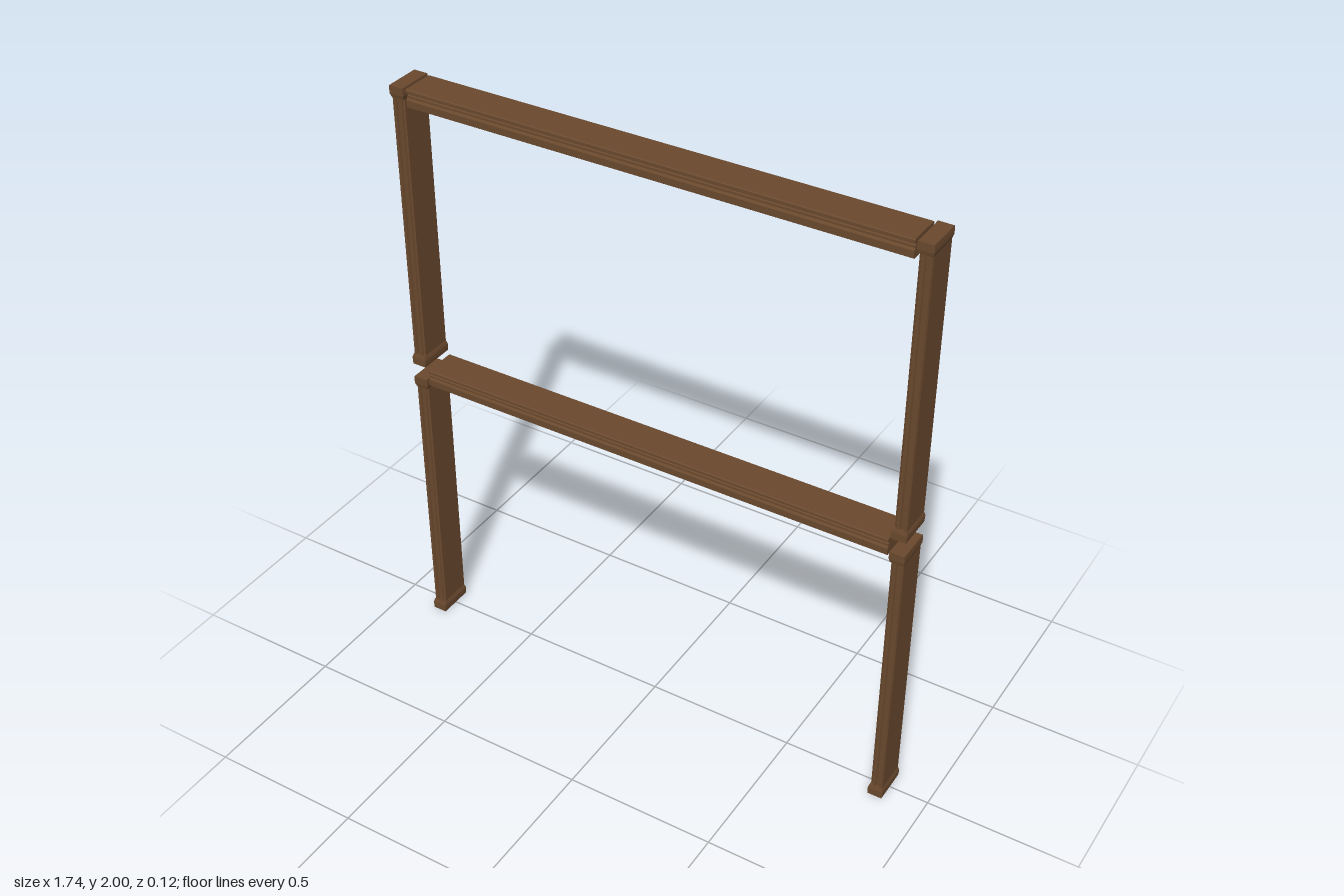
import * as THREE from 'three';

const wood = new THREE.MeshStandardMaterial({ color: 0x6a492e });
wood.name = 'brown wood';

// Flat-sided prism, centred along its length
function prism(points, length) {
  const shape = new THREE.Shape(points.map(([a, b]) => new THREE.Vector2(a, b)));
  const geo = new THREE.ExtrudeGeometry(shape, { depth: length, bevelEnabled: false });
  return geo.translate(0, 0, -length / 2);
}

function add(parent, name, geo, x = 0, y = 0, z = 0) {
  const mesh = new THREE.Mesh(geo, wood);
  mesh.name = name;
  mesh.position.set(x, y, z);
  parent.add(mesh);
  return mesh;
}

// Post end block: full width at the outer end, narrowing toward the shaft
function endBlock(up) {
  const geo = new THREE.BoxGeometry(0.05, 0.038, 0.12, 1, 3, 1);
  const p = geo.attributes.position;
  for (let i = 0; i < p.count; i++) {
    const t = p.getY(i) * up / 0.038 + 0.5; // 0 at the shaft, 1 at the tip
    const s = t < 0.1 ? 0.84 : t > 0.9 ? 0.94 : 1;
    p.setX(i, p.getX(i) * s);
    p.setZ(i, p.getZ(i) * (t < 0.1 ? 0.95 : 1));
  }
  const flat = geo.toNonIndexed();
  flat.computeVertexNormals();
  return flat;
}

// Post section (x outward, z): flat back, stepped moulding on the front
const postProfile = [
  [-0.02, -0.058], [0.021, -0.058], [0.021, 0.05], [0.018, 0.056],
  [0.009, 0.056], [0.006, 0.049], [0.001, 0.049], [-0.002, 0.056],
  [-0.012, 0.056], [-0.015, 0.05], [-0.02, 0.048],
];

// Beam section (z, y): flat back, grooved front edge
const beamProfile = [
  [-0.058, -0.03], [0.05, -0.03], [0.056, -0.026], [0.056, -0.004],
  [0.051, 0.002], [0.051, 0.009], [0.047, 0.011], [0.047, 0.016],
  [0.056, 0.019], [0.056, 0.027], [0.053, 0.03], [-0.055, 0.03], [-0.058, 0.027],
];

function makePost(side, bottom, top) {
  const post = new THREE.Group();
  post.name = side > 0 ? 'leftPost' : 'rightPost';
  const profile = postProfile.map(([x, z]) => [x * side, z]);
  const shaft = prism(profile, top - bottom - 0.04).rotateX(Math.PI / 2);
  add(post, 'shaft', shaft, side * 0.845, (top + bottom) / 2);
  add(post, 'topBlock', endBlock(1), side * 0.845, top - 0.019);
  add(post, 'bottomBlock', endBlock(-1), side * 0.845, bottom + 0.019);
  return post;
}

function makeBeam(y) {
  const beam = new THREE.Group();
  beam.name = 'crossBeam';
  add(beam, 'moulding', prism(beamProfile, 1.625).rotateY(-Math.PI / 2), 0, y);
  // Small pegs on the back near each end
  for (const side of [-1, 1]) {
    const peg = new THREE.CylinderGeometry(0.006, 0.006, 0.008, 8).rotateX(Math.PI / 2);
    add(beam, 'peg', peg, side * 0.778, y, -0.06);
  }
  return beam;
}

export function createModel() {
  const model = new THREE.Group();
  model.name = 'postAndBeamFrame';
  for (const side of [-1, 1]) {
    model.add(makePost(side, 0, 0.978), makePost(side, 1.027, 2));
  }
  model.add(makeBeam(0.986), makeBeam(1.968));
  return model;
}
